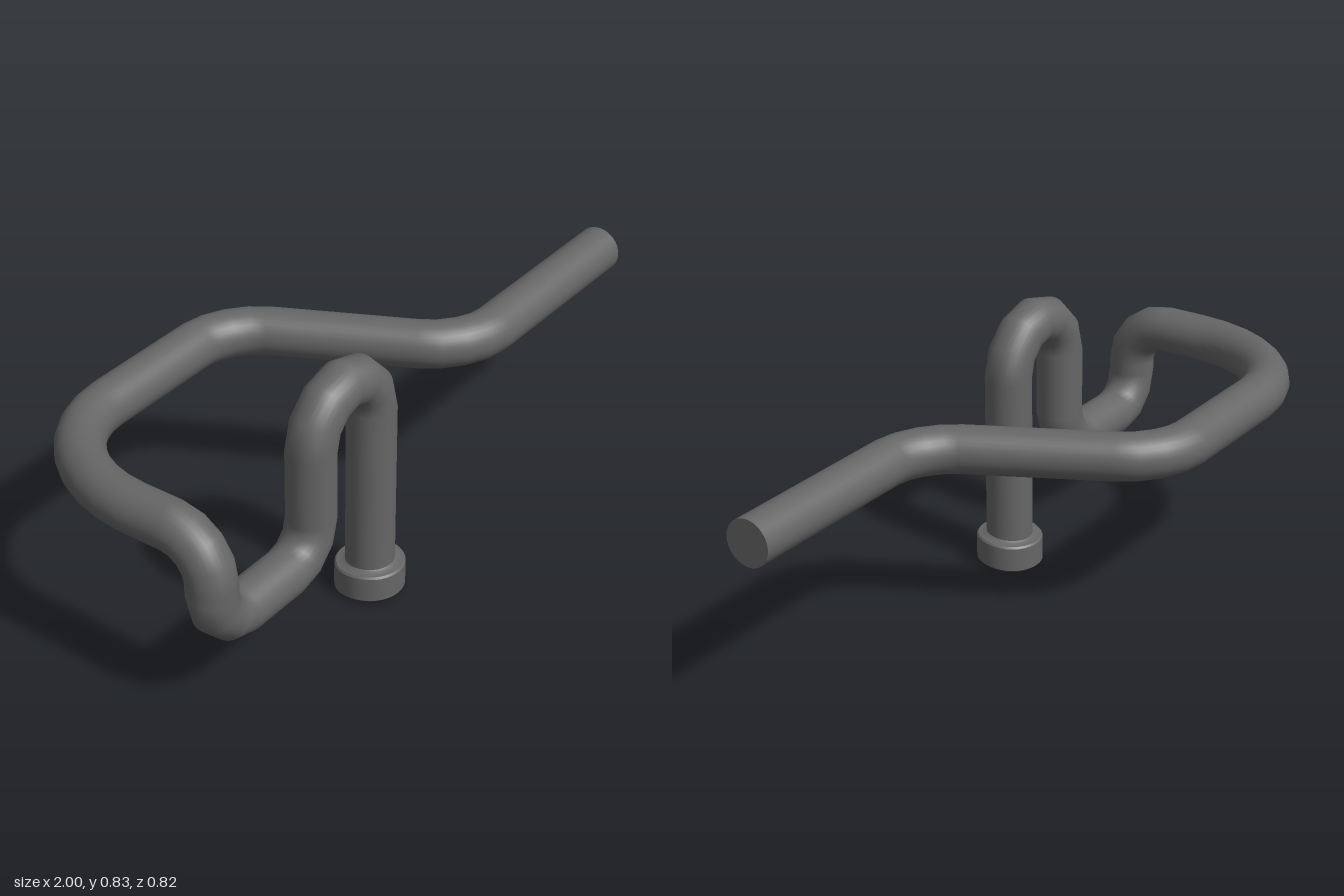
import * as THREE from 'three';
import { toCreasedNormals } from 'three/addons/utils/BufferGeometryUtils.js';

const R = 0.072, Y = 0.568, Z = 0.306;
const material = new THREE.MeshStandardMaterial({ color: 0x666666 });

// Pipe route: x, y, z of each corner, then bend length before and after it, then bend steps
const route = [
  [-0.217, 0.05, Z],
  [-0.217, 0.757, Z, 0.14, 0.14, 3],
  [-0.497, 0.757, Z, 0.14, 0.14, 3],
  [-0.497, 0.283, Z, 0.12, 0.12, 3],
  [-0.928, 0.283, Z, 0.12, 0.12, 3],
  [-0.928, Y, Z, 0.13, 0.13, 4],
  [-0.928, Y, -0.34, 0.39, 0.34, 8],
  [-0.07, Y, -0.34, 0.13, 0.14, 4],
  [0.26, Y, Z, 0.14, 0.13, 4],
  [1, Y, Z],
];

// Turns the corners into points and tangents, each corner rounded by an elliptical bend
function roundCorners(corners) {
  const at = corners.map(c => new THREE.Vector3(c[0], c[1], c[2]));
  const dir = (i) => at[i + 1].clone().sub(at[i]).normalize();
  const stations = [{ p: at[0], t: dir(0) }];
  const add = (p, t) => {
    if (stations[stations.length - 1].p.distanceTo(p) > 1e-3) stations.push({ p, t });
  };
  for (let i = 1; i < at.length - 1; i++) {
    const [before, after, steps] = corners[i].slice(3);
    const a = dir(i - 1).multiplyScalar(before), b = dir(i).multiplyScalar(after);
    for (let k = 0; k <= steps; k++) {
      const s = Math.sin(k / steps * Math.PI / 2), c = Math.cos(k / steps * Math.PI / 2);
      add(
        at[i].clone().addScaledVector(a, s - 1).addScaledVector(b, 1 - c),
        a.clone().multiplyScalar(c).addScaledVector(b, s).normalize()
      );
    }
  }
  add(at[at.length - 1], dir(at.length - 2));
  return stations;
}

// A path that visits exactly one station per tube ring
class StationPath extends THREE.Curve {
  constructor(stations) { super(); this.stations = stations; }
  station(u) { return this.stations[Math.round(u * (this.stations.length - 1))]; }
  getPoint(u, target = new THREE.Vector3()) { return target.copy(this.station(u).p); }
  getPointAt(u, target) { return this.getPoint(u, target); }
  getTangent(u, target = new THREE.Vector3()) { return target.copy(this.station(u).t); }
  getTangentAt(u, target) { return this.getTangent(u, target); }
}

export function createModel() {
  const group = new THREE.Group();
  const add = (name, geometry, x = 0, y = 0, z = 0) => {
    const mesh = new THREE.Mesh(geometry, material);
    mesh.name = name;
    mesh.position.set(x, y, z);
    group.add(mesh);
    return mesh;
  };

  // Bent pipe and its flat end
  const stations = roundCorners(route);
  add('pipe', new THREE.TubeGeometry(new StationPath(stations), stations.length - 1, R, 32, false));
  add('pipeEnd', new THREE.CircleGeometry(R, 32), 1, Y, Z).rotation.y = Math.PI / 2;

  // Collar nut at the foot, with chamfered rims, sitting slightly lower at the back
  const profile = [
    [0, 0.01], [0.098, 0.01], [0.103, 0.015], [0.103, 0.09], [0.098, 0.096], [0.08, 0.097], [0.07, 0.104],
  ].map(([x, y]) => new THREE.Vector2(x, y));
  const nut = new THREE.LatheGeometry(profile, 40);
  const pos = nut.attributes.position;
  for (let i = 0; i < pos.count; i++) {
    const back = 1 - THREE.MathUtils.smoothstep(pos.getZ(i), -0.09, 0.04);
    pos.setY(i, pos.getY(i) - 0.009 * back);
  }
  add('collarNut', toCreasedNormals(nut, 0.6), -0.217, 0, Z);

  return group;
}
